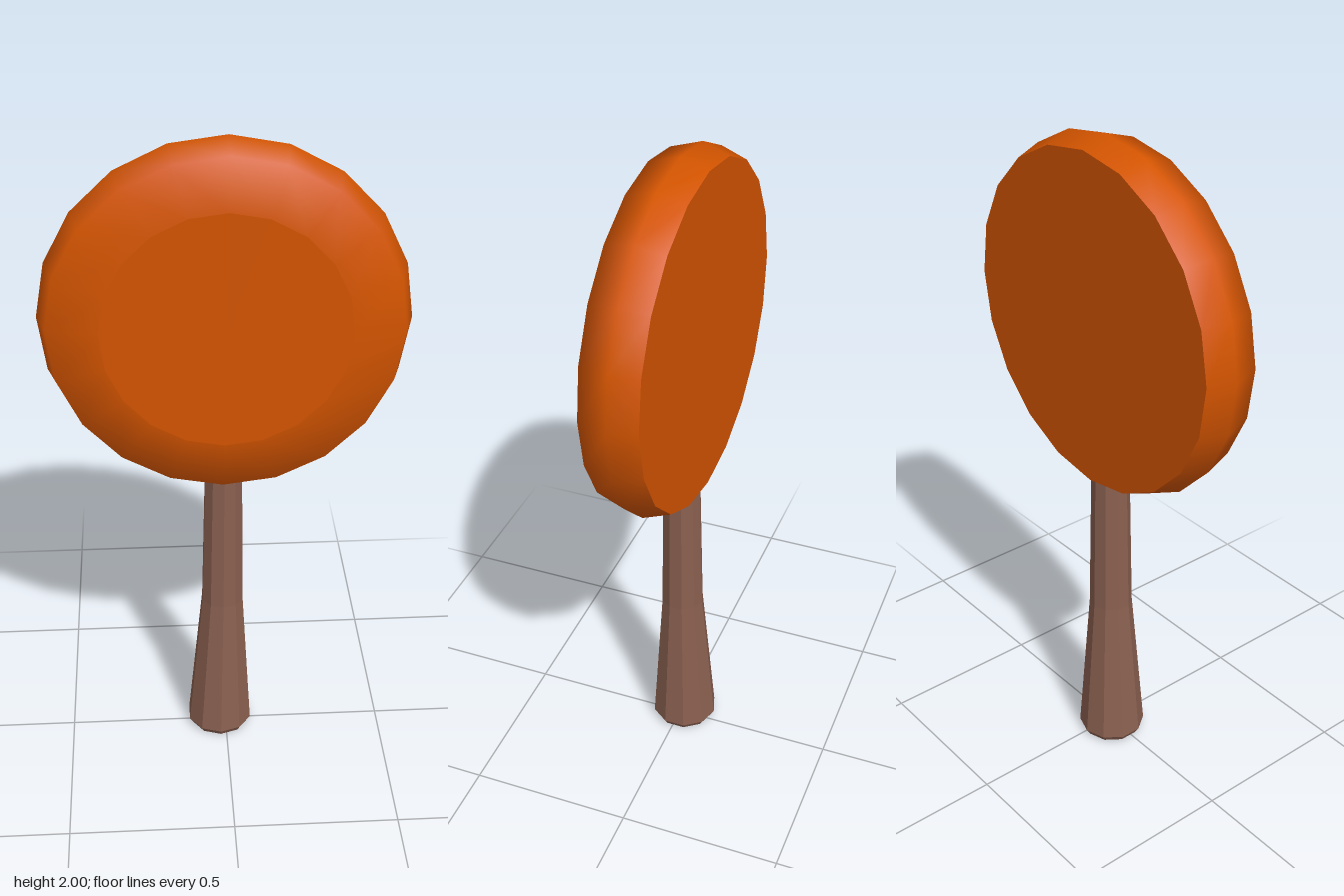
import * as THREE from 'three';

const SIDES = 20;

function addMesh(parent, name, geometry, material) {
  const mesh = new THREE.Mesh(geometry, material);
  mesh.name = name;
  parent.add(mesh);
  return mesh;
}

// Smooth rounded rim with flat faces front and back
function createBlade() {
  const blade = new THREE.Group();
  blade.name = 'blade';
  const material = new THREE.MeshStandardMaterial({ color: 0xd35400 });
  const profile = [[0.502, -0.085], [0.53, -0.005], [0.502, 0.086], [0.355, 0.108]]
    .map(([r, z]) => new THREE.Vector2(r, z));
  addMesh(blade, 'rim', new THREE.LatheGeometry(profile, SIDES).rotateX(Math.PI / 2), material);

  const front = addMesh(blade, 'frontFace', new THREE.CircleGeometry(0.355, SIDES), material);
  front.position.z = 0.108;
  const back = addMesh(blade, 'backFace', new THREE.CircleGeometry(0.502, SIDES), material);
  back.rotation.y = Math.PI;
  back.position.z = -0.085;

  blade.position.y = 1.472;
  blade.rotation.set(0, -0.012, -0.02);
  return blade;
}

// Ten-sided flared grip, leaning slightly, its top buried in the blade
function createHandle() {
  const rings = [ // radius, height, centre x, centre z
    [0, 0, -0.019, -0.009],
    [0.092, 0, -0.019, -0.009],
    [0.104, 0.02, -0.019, -0.009],
    [0.066, 0.5, -0.009, -0.005],
    [0.057, 1.0, -0.005, -0.003],
    [0, 1.0, -0.005, -0.003],
  ];
  const geometry = new THREE.LatheGeometry(rings.map(([r, y]) => new THREE.Vector2(r, y)), 10);
  const p = geometry.attributes.position;
  for (let i = 0; i < p.count; i++) {
    const [, , cx, cz] = rings[i % rings.length];
    p.setXYZ(i, p.getX(i) + cx, p.getY(i), p.getZ(i) + cz);
  }
  const material = new THREE.MeshStandardMaterial({ color: 0x8a6050, flatShading: true });
  const handle = new THREE.Mesh(geometry, material);
  handle.name = 'handle';
  return handle;
}

export function createModel() {
  const model = new THREE.Group();
  model.name = 'paddle';
  model.add(createBlade(), createHandle());
  return model;
}
